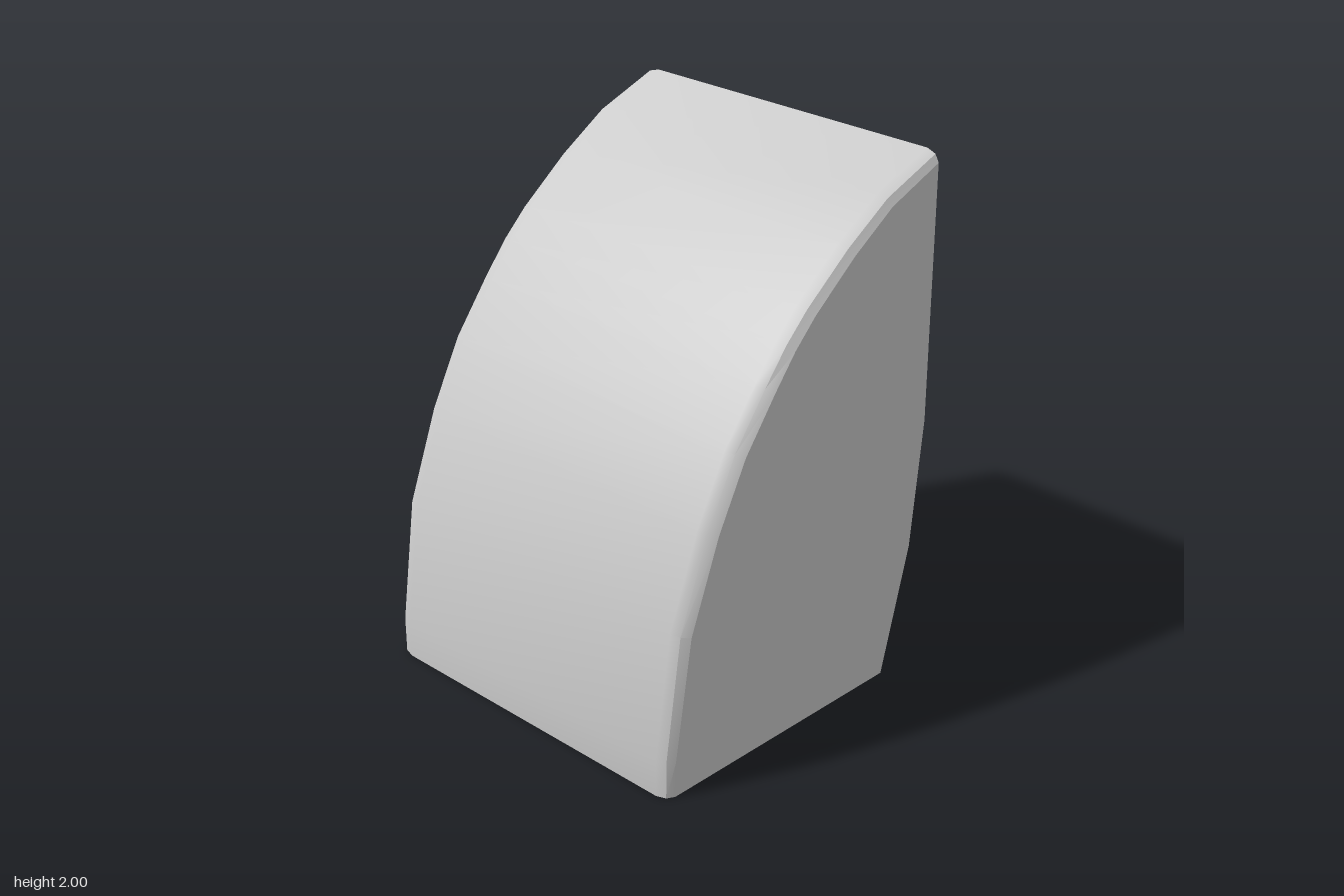
import * as THREE from 'three';
import { toCreasedNormals } from 'three/addons/utils/BufferGeometryUtils.js';

// Arched outline, from the bottom left over the top
const arch = [[-0.655, 0], [-0.655, 0.14], [-0.59, 0.61], [-0.465, 0.95], [-0.34, 1.195],
  [-0.2, 1.385], [-0.1, 1.51], [0, 1.61], [0.2, 1.77], [0.4, 1.9], [0.655, 2]];
// Flat side with its slanted foot: x, y, edge inset
const side = [[0.655, 1, 0], [0.655, 0.5, 1], [0.53, 0, 0.8]];

// Each outline point carries the direction in which its end bevel pulls it inwards
const outline = [
  ...arch.map(([x, y]) => {
    const n = new THREE.Vector2((x - 0.655) / 1.31 ** 2, y / 4).normalize();
    return { x, y, dx: -n.x, dy: -n.y };
  }),
  ...side.map(([x, y, inset]) => ({ x, y, dx: -inset, dy: 0 })),
];

// Cross-sections from back to front: z, bevel inset, taper
const sections = [[-0.7, 0.032, 0], [-0.685, 0.012, 0], [-0.64, 0, 0],
  [0.63, 0, 1], [0.665, 0.014, 1], [0.68, 0.042, 1]];

function createBlockGeometry() {
  const positions = [], index = [];
  const n = outline.length, last = sections.length - 1;

  sections.forEach(([z, inset, taper], k) => {
    for (const p of outline) {
      // The front end is slightly smaller, and its face bulges a little
      const x = p.x + taper * 0.025 * (0.655 - p.x) / 1.31 * (p.x < 0.5 ? 1 : 0);
      const y = p.y * (1 - 0.015 * taper);
      const bulge = k === last ? 0.01 * Math.sin(Math.PI * y / 2) : 0;
      positions.push(x + p.dx * inset, y + p.dy * inset, z + bulge);
    }
  });

  // Skin between the cross-sections
  for (let k = 0; k < last; k++) {
    for (let i = 0; i < n; i++) {
      const a = k * n + i, b = k * n + (i + 1) % n;
      index.push(a, a + n, b + n, a, b + n, b);
    }
  }

  // End faces
  const back = positions.length / 3, front = back + 1;
  positions.push(0.15, 0.85, -0.7, 0.15, 0.85, 0.695);
  for (let i = 0; i < n; i++) {
    const j = (i + 1) % n;
    index.push(back, i, j, front, last * n + j, last * n + i);
  }

  const geometry = new THREE.BufferGeometry();
  geometry.setAttribute('position', new THREE.Float32BufferAttribute(positions, 3));
  geometry.setIndex(index);
  return toCreasedNormals(geometry, 0.5);
}

export function createModel() {
  const group = new THREE.Group();
  group.name = 'archedBlock';
  const block = new THREE.Mesh(createBlockGeometry(), new THREE.MeshStandardMaterial({ color: 0xcccccc }));
  block.name = 'block';
  group.add(block);
  return group;
}
